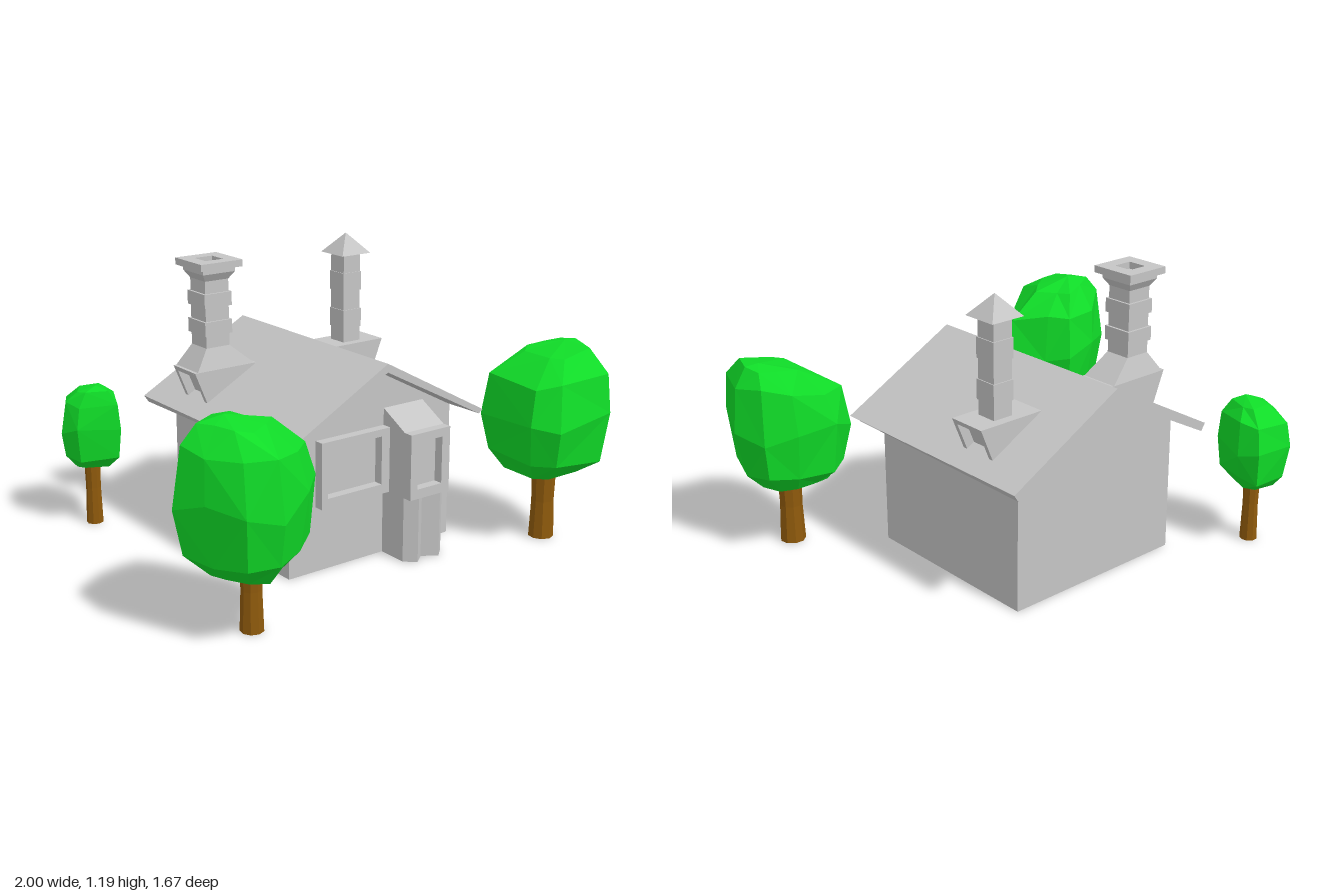
import * as THREE from 'three';

const mat = (name, color) => {
  const m = new THREE.MeshStandardMaterial({ color });
  m.name = name;
  return m;
};

export function createModel() {
  const grey = mat('stone grey', 0xc5c5c5);
  const green = mat('leaf green', 0x10dc28);
  const brown = mat('bark brown', 0x8f5a0c);
  for (const m of [grey, green, brown]) m.flatShading = true;

  const root = new THREE.Group();
  root.name = 'cottageAndTrees';
  const house = new THREE.Group();
  house.name = 'house';
  root.add(house);
  const add = (name, geo, material = grey, parent = house) => {
    const mesh = new THREE.Mesh(geo, material);
    mesh.name = name;
    parent.add(mesh);
    return mesh;
  };

  // Helpers: polygons extruded along z, boxes by limits, tapered blocks
  const shape = (pts) => new THREE.Shape(pts.map(([x, y]) => new THREE.Vector2(x, y)));
  const extrude = (s, z0, z1) =>
    new THREE.ExtrudeGeometry(s, { depth: z1 - z0, bevelEnabled: false }).translate(0, 0, z0);
  const box = (x0, x1, y0, y1, z0, z1) =>
    new THREE.BoxGeometry(x1 - x0, y1 - y0, z1 - z0).translate((x0 + x1) / 2, (y0 + y1) / 2, (z0 + z1) / 2);
  const rect = (x0, x1, y0, y1) => [[x0, y0], [x1, y0], [x1, y1], [x0, y1]];
  const framed = (outer, inner, z0, z1) => {
    const s = shape(rect(...outer));
    s.holes.push(shape(rect(...inner)));
    return extrude(s, z0, z1);
  };
  const taper = (x, z, y0, y1, w0, d0, w1, d1, shift = 0) => {
    const g = new THREE.BoxGeometry(1, y1 - y0, 1);
    const p = g.attributes.position;
    for (let i = 0; i < p.count; i++) {
      const low = p.getY(i) < 0;
      p.setX(i, p.getX(i) * (low ? w0 : w1) + (low ? shift : 0));
      p.setZ(i, p.getZ(i) * (low ? d0 : d1));
    }
    return g.translate(x, (y0 + y1) / 2, z);
  };

  // Gabled walls
  const cx = 0.047;
  add('walls', extrude(shape([
    [cx - 0.406, 0], [cx + 0.406, 0], [cx + 0.406, 0.562], [cx, 0.778], [cx - 0.406, 0.562],
  ]), -0.52, 0.29));

  // Overhanging roof, a little thinner at the front edge
  const roof = extrude(shape([
    [cx - 0.505, 0.545], [cx - 0.485, 0.515], [cx, 0.77], [cx + 0.485, 0.515], [cx + 0.505, 0.545], [cx, 0.82],
  ]), -0.613, 0.382);
  const rp = roof.attributes.position;
  for (let i = 0; i < rp.count; i++) {
    const under = rp.getY(i) < 0.81 - Math.abs(rp.getX(i) - cx) * 0.545;
    if (under && rp.getZ(i) > 0) rp.setY(i, rp.getY(i) + 0.015);
  }
  add('roof', roof);

  // Front window frame
  add('windowFrame', framed([-0.23, 0.105, 0.27, 0.54], [-0.2, 0.065, 0.31, 0.51], 0.285, 0.33));

  // Entrance bay: zigzag base, sloped top and projecting window frame
  const baseGeo = extrude(shape([
    [0.105, -0.28], [0.105, -0.42], [0.15, -0.46], [0.2, -0.42], [0.26, -0.46], [0.305, -0.42], [0.305, -0.28],
  ]), 0, 0.28);
  add('entranceBase', baseGeo.rotateX(-Math.PI / 2));
  add('entranceBay', extrude(shape([
    [-0.28, 0.27], [-0.42, 0.27], [-0.42, 0.54], [-0.29, 0.61], [-0.28, 0.61],
  ]), 0.105, 0.305).rotateY(Math.PI / 2));
  add('entranceWindowFrame', framed([0.105, 0.305, 0.27, 0.54], [0.14, 0.265, 0.31, 0.505], 0.42, 0.46));

  // Leaning dormers on both roof slopes, each with a recessed face
  for (const [side, name] of [[-1, 'rightDormer'], [1, 'leftDormer']]) {
    const prof = (pts) => shape(pts.map(([s, y]) => [cx + side * s, y]));
    const cheek = prof([[0.185, 0.72], [0.48, 0.72], [0.425, 0.585], [0.4, 0.585]]);
    add(name + 'Core', extrude(prof([[0.185, 0.72], [0.44, 0.72], [0.39, 0.6]]), -0.385, -0.26));
    add(name + 'Lintel', extrude(prof([[0.185, 0.72], [0.48, 0.72], [0.472, 0.7], [0.22, 0.7]]), -0.385, -0.26));
    add(name + 'Cheek', extrude(cheek, -0.405, -0.385));
    add(name + 'Cheek', extrude(cheek, -0.26, -0.24));
  }

  // Stepped chimney shafts of alternating blocks
  const shaft = (name, x, z, y0, y1, n, wide, thin) => {
    const h = (y1 - y0) / n;
    for (let i = 0; i < n; i++) {
      const w = (i % 2 ? wide : thin) / 2;
      add(name, box(x - w, x + w, y0 + i * h, y0 + (i + 1) * h, z - w, z + w));
    }
  };

  // Wide chimney with a hipped foot and a hollow cap
  const ax = -0.303, az = -0.325;
  add('wideChimneyFoot', taper(ax, az, 0.72, 0.805, 0.27, 0.165, 0.11, 0.11, 0.02));
  shaft('wideChimneyShaft', ax, az, 0.8, 1.085, 5, 0.128, 0.11);
  add('wideChimneyFlare', taper(ax, az, 1.075, 1.11, 0.105, 0.105, 0.15, 0.15));
  add('wideChimneyNeck', box(ax - 0.075, ax + 0.075, 1.11, 1.13, az - 0.075, az + 0.075));
  const cap = framed([-0.097, 0.097, -0.097, 0.097], [-0.041, 0.041, -0.041, 0.041], 0, 0.028);
  add('wideChimneyCap', cap.rotateX(-Math.PI / 2).translate(ax, 1.13, az));

  // Slim chimney with a pyramid cap
  shaft('slimChimneyShaft', 0.388, -0.322, 0.7, 1.105, 5, 0.096, 0.088);
  add('slimChimneyCap', new THREE.ConeGeometry(0.075 * Math.SQRT2, 0.085, 4, 1)
    .rotateY(Math.PI / 4).translate(0.388, 1.147, -0.322));

  // Faceted tree crown: uneven rings around a plan outline, leaning to a peak
  const levels = [[0.03, 0], [0.04, 0.55], [0.17, 0.87], [0.5, 1], [0.8, 0.88], [0.94, 0.5], [1, 0]];
  const crown = ({ plan, y0, y1, peak, tilt, seed }) => {
    const n = plan.length;
    const mid = [0, 1].map((k) => plan.reduce((sum, p) => sum + p[k], 0) / n);
    const rings = levels.map(([t, s], j) => plan.map(([x, z], i) => {
      const wob = Math.sin(seed + i * 2.7 + j * 4.1);
      const k = s === 1 ? 1 : s * (1 + 0.05 * wob);
      const lean = t < 0.6 ? 0 : 1 - s;
      const px = mid[0] + (peak[0] - mid[0]) * lean + (x - mid[0]) * k;
      const pz = mid[1] + (peak[1] - mid[1]) * lean + (z - mid[1]) * k;
      const dy = s === 0 ? 0 : 0.045 * Math.sin(seed * 2 + i * 1.9 + j * 3.3) * Math.sin(Math.PI * t);
      const slant = t > 0.6 && s > 0 ? tilt * (px - mid[0]) : 0;
      return [px, y0 + (y1 - y0) * (t + dy) + slant, pz];
    }));
    const out = [];
    for (let j = 0; j < rings.length - 1; j++) {
      for (let i = 0; i < n; i++) {
        const i2 = (i + 1) % n;
        const [a, b, c, d] = [rings[j][i], rings[j + 1][i], rings[j + 1][i2], rings[j][i2]];
        const last = j === rings.length - 2;
        if (j === 0) out.push(a, b, c);
        else if (last) out.push(a, b, d);
        else if ((i + j) % 2) out.push(a, b, d, b, c, d);
        else out.push(a, b, c, a, c, d);
      }
    }
    const g = new THREE.BufferGeometry();
    g.setAttribute('position', new THREE.Float32BufferAttribute(out.flat(), 3));
    g.computeVertexNormals();
    return g;
  };

  const trees = [
    {
      name: 'frontRightTree', seed: 1, tilt: -0.1, y0: 0.225, y1: 0.825, peak: [-0.81, 0.55], trunk: [-0.715, 0.56, 0.045],
      plan: [[-1, 0.51], [-0.8, 0.37], [-0.61, 0.32], [-0.55, 0.42], [-0.447, 0.58], [-0.57, 0.71], [-0.76, 0.835],
        [-0.88, 0.785], [-0.95, 0.64]],
    },
    {
      name: 'frontLeftTree', seed: 4, tilt: 0.15, y0: 0.265, y1: 0.815, peak: [0.88, 0.51], trunk: [0.75, 0.55, 0.053],
      plan: [[0.564, 0.36], [0.66, 0.315], [0.83, 0.33], [0.95, 0.385], [1, 0.52], [0.895, 0.76], [0.62, 0.755],
        [0.55, 0.66]],
    },
    {
      name: 'backTree', seed: 7, tilt: 0, y0: 0.245, y1: 0.62, peak: [-0.67, -0.64], trunk: [-0.67, -0.7, 0.036],
      plan: [[-0.8, -0.71], [-0.72, -0.84], [-0.55, -0.82], [-0.53, -0.73], [-0.6, -0.565], [-0.77, -0.625]],
    },
  ];
  for (const t of trees) {
    const tree = new THREE.Group();
    tree.name = t.name;
    root.add(tree);
    add('crown', crown(t), green, tree);
    // Trunk slightly waisted halfway up
    const [x, z, r] = t.trunk;
    const pts = [[0, 0], [r, 0], [r * 0.88, 0.16], [r, 0.36], [0, 0.36]].map(([a, b]) => new THREE.Vector2(a, b));
    add('trunk', new THREE.LatheGeometry(pts, 9).translate(x, 0, z), brown, tree);
  }
  return root;
}
